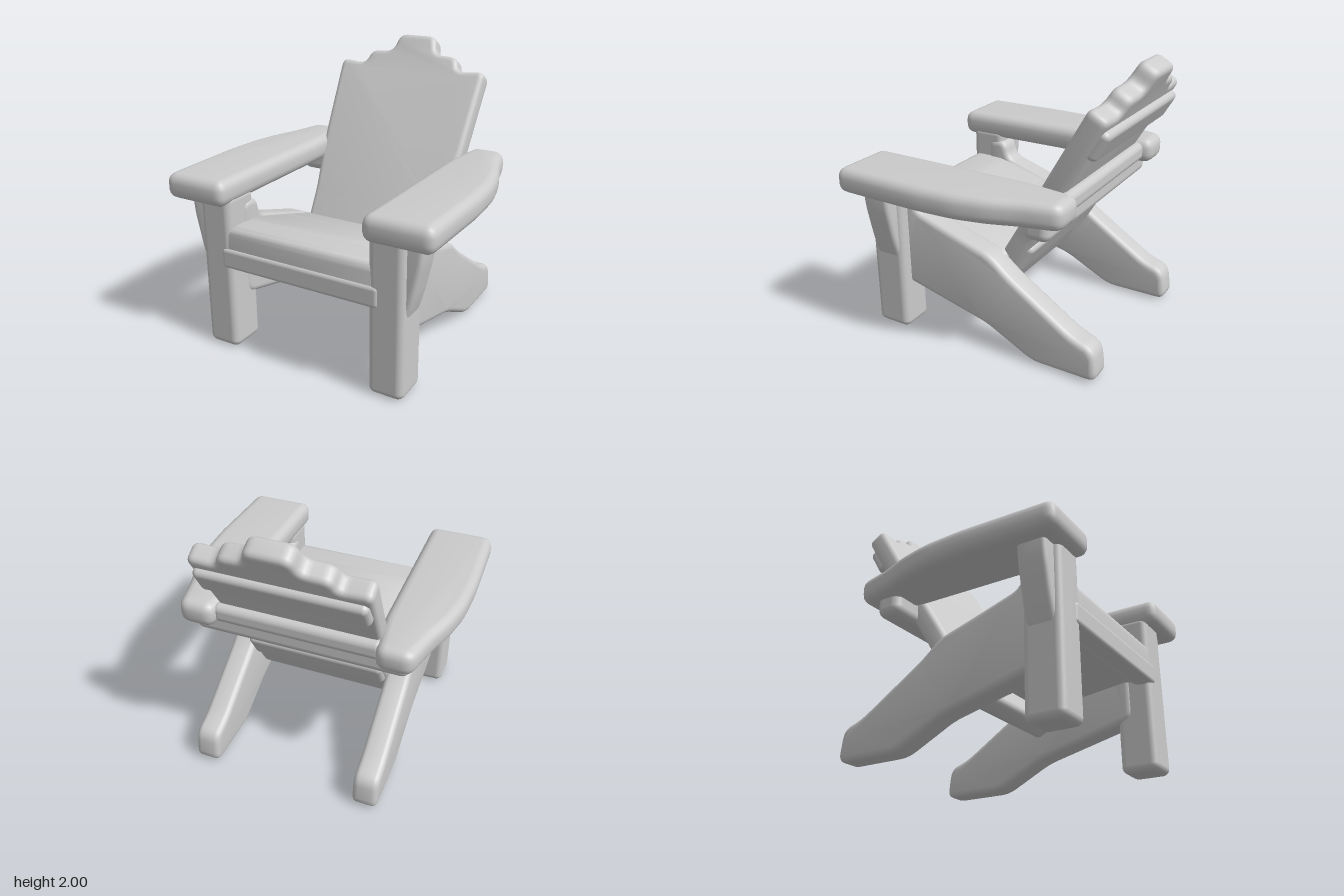
import * as THREE from 'three';
import { toCreasedNormals } from 'three/addons/utils/BufferGeometryUtils.js';
import { RoundedBoxGeometry } from 'three/addons/geometries/RoundedBoxGeometry.js';

const material = new THREE.MeshStandardMaterial({ color: 0xcccccc });

// Closed outline with its corners rounded to about radius r
function roundedShape(points, r) {
  const pts = points.map(([x, y]) => new THREE.Vector2(x, y));
  const n = pts.length;
  const shape = new THREE.Shape();
  pts.forEach((p, i) => {
    const toward = (q) => {
      const d = q.clone().sub(p);
      return p.clone().addScaledVector(d.normalize(), Math.min(r, p.distanceTo(q) * 0.45));
    };
    const a = toward(pts[(i + n - 1) % n]);
    const b = toward(pts[(i + 1) % n]);
    if (i === 0) shape.moveTo(a.x, a.y);
    else shape.lineTo(a.x, a.y);
    shape.quadraticCurveTo(p.x, p.y, b.x, b.y);
  });
  shape.closePath();
  return shape;
}

// Soft-edged board of the given outline, centred through its thickness
function board(points, thickness, corner, bevel) {
  const geometry = new THREE.ExtrudeGeometry(roundedShape(points, corner), {
    depth: thickness - 2 * bevel,
    bevelSize: bevel,
    bevelThickness: bevel,
    bevelOffset: -bevel,
    bevelSegments: 4,
    curveSegments: 5,
  });
  geometry.translate(0, 0, -(thickness - 2 * bevel) / 2);
  return toCreasedNormals(geometry, 0.7);
}

function add(parent, name, geometry, x = 0, y = 0, z = 0) {
  const mesh = new THREE.Mesh(geometry, material);
  mesh.name = name;
  mesh.position.set(x, y, z);
  parent.add(mesh);
  return mesh;
}

export function createModel() {
  const chair = new THREE.Group();
  chair.name = 'gardenChair';

  for (const s of [1, -1]) {
    const side = s > 0 ? 'left' : 'right';

    // Front leg with the bracket under the armrest
    add(chair, side + 'FrontLeg', new RoundedBoxGeometry(0.25, 1.13, 0.27, 4, 0.05), s * 0.645, 0.575, 0.735);
    add(chair, side + 'ArmBracket', board(
      [[0.66, 1.14], [0.88, 1.14], [0.86, 0.95], [0.81, 0.72], [0.76, 0.55], [0.66, 0.55]].map(([x, y]) => [s * x, y]),
      0.2, 0.05, 0.03), 0, 0, 0.73);

    // Sloping side rail that also forms the back foot, outline in z and y
    const rail = board([
      [0.72, 1.06], [0.57, 1.06], [0.54, 0.92], [0.2, 0.81], [-0.06, 0.73], [-0.2, 0.61],
      [-0.68, 0.3], [-0.83, 0.25], [-0.86, 0.02], [-0.38, 0.02], [-0.02, 0.2], [0.55, 0.34], [0.72, 0.38],
    ], 0.18, 0.07, 0.04);
    rail.rotateY(-Math.PI / 2);
    add(chair, side + 'SideRail', rail, s * 0.6);

    // Armrest, outline in x and z
    const arm = board([
      [0.51, 0.95], [0.985, 0.95], [1, 0.3], [0.985, 0.02], [0.94, -0.2], [0.87, -0.4],
      [0.81, -0.66], [0.57, -0.66], [0.52, -0.3],
    ].map(([x, z]) => [s * x, z]), 0.18, 0.07, 0.065);
    arm.rotateX(Math.PI / 2);
    add(chair, side + 'Armrest', arm, 0, 1.17);
  }

  // Seat and front apron in one profile, outline in z and y
  const seat = board([
    [0.87, 0.62], [0.86, 0.92], [0.6, 0.92], [0.2, 0.8], [-0.12, 0.7],
    [-0.12, 0.56], [0.2, 0.59], [0.72, 0.66], [0.76, 0.62],
  ], 1.14, 0.06, 0.02);
  seat.rotateY(-Math.PI / 2);
  add(chair, 'seat', seat);
  add(chair, 'apronLowerRail', new RoundedBoxGeometry(1.2, 0.15, 0.08, 3, 0.03), 0, 0.7, 0.84);

  // Leaning backrest with a stepped top
  const back = new THREE.Group();
  back.name = 'backrest';
  back.position.set(0, 0.72, -0.07);
  back.rotation.x = -0.53;
  const half = [[0.52, -0.35], [0.53, 0.2], [0.575, 0.65], [0.6, 1.27], [0.39, 1.25], [0.36, 1.36], [0.18, 1.37], [0.15, 1.51]];
  const outline = [...half, ...half.map(([x, y]) => [-x, y]).reverse()];
  add(back, 'backPanel', board(outline, 0.15, 0.06, 0.04), 0, 0, -0.075);
  add(back, 'upperBatten', new RoundedBoxGeometry(1.14, 0.22, 0.12, 4, 0.04), 0, 1.08, -0.14);
  add(back, 'lowerBatten', new RoundedBoxGeometry(1.02, 0.24, 0.1, 4, 0.04), 0, 0.02, -0.13);
  chair.add(back);

  // Bar behind the back that carries the rear ends of the armrests
  add(chair, 'armSupportBar', new RoundedBoxGeometry(1.54, 0.18, 0.19, 4, 0.06), 0, 1.05, -0.45);
  add(chair, 'backCrossRail', new RoundedBoxGeometry(1.2, 0.14, 0.14, 4, 0.05), 0, 1.17, -0.53);

  return chair;
}
